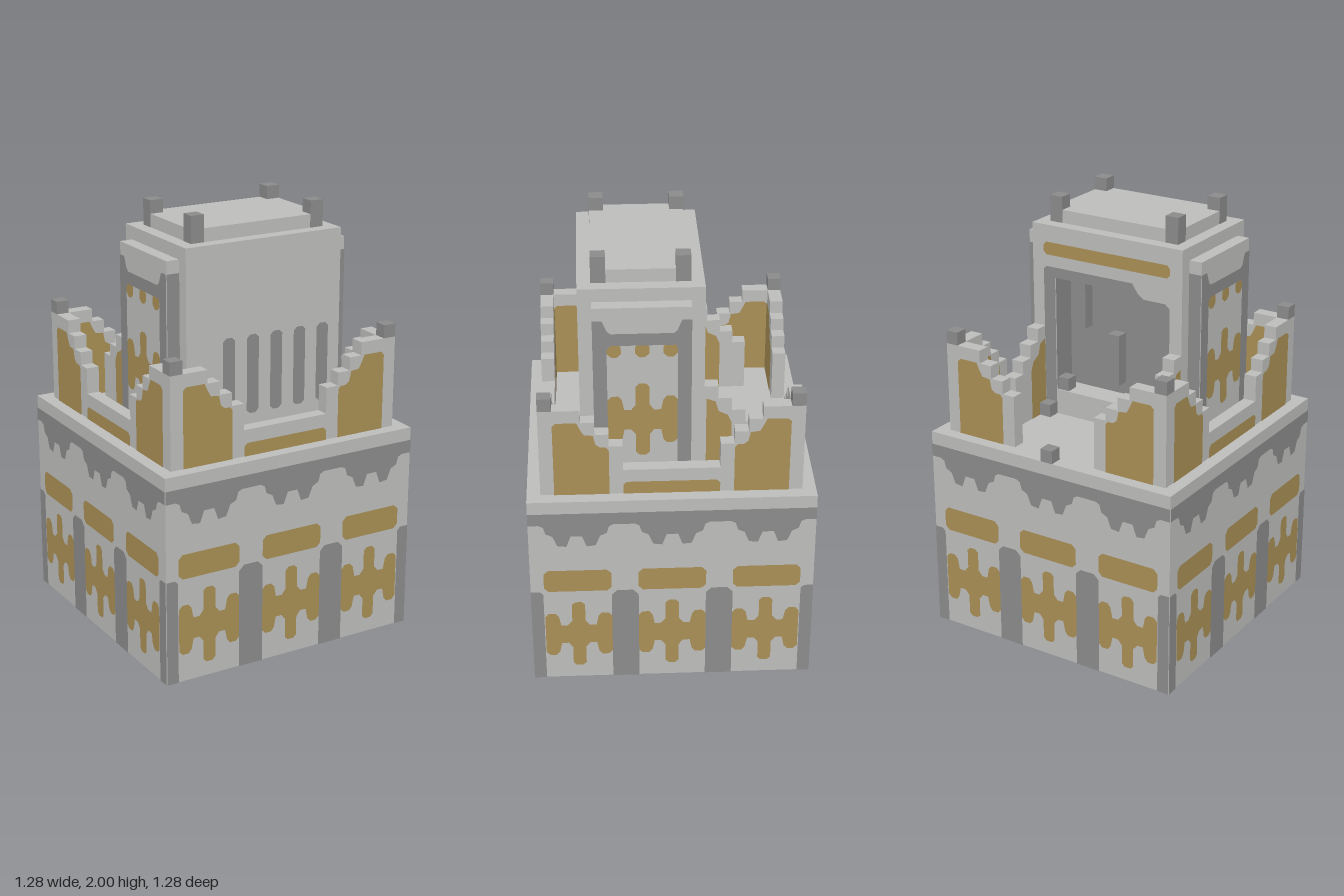
import * as THREE from 'three';

const V = 2 / 33;          // block size
const EPS = 0.003;         // lift of painted faces
const H = 10.5 * V;        // half width of the base
const DECK = 16 * V;

const stone = new THREE.MeshStandardMaterial({ color: 0xbdbdbb });
stone.name = 'light stone';
const dark = new THREE.MeshStandardMaterial({ color: 0x8b8b8b });
dark.name = 'dark stone';
const gold = new THREE.MeshStandardMaterial({ color: 0xa98f55 });
gold.name = 'gold';

const toShape = (pts) => new THREE.Shape(pts.map(([x, y]) => new THREE.Vector2(x, y)));
const flip = (pts, s) => pts.map(([x, y]) => [x * s, y]);
const shift = (pts, dx, dy = 0) => pts.map(([x, y]) => [x + dx, y + dy]);

function add(parent, name, geometry, material) {
  const mesh = new THREE.Mesh(geometry, material);
  mesh.name = name;
  parent.add(mesh);
  return mesh;
}

// Box given by its limits
function box(parent, name, material, x0, x1, y0, y1, z0, z1) {
  const mesh = add(parent, name, new THREE.BoxGeometry(x1 - x0, y1 - y0, z1 - z0), material);
  mesh.position.set((x0 + x1) / 2, (y0 + y1) / 2, (z0 + z1) / 2);
  return mesh;
}

// Painted face in the xy plane, facing +z
function paint(parent, name, material, pts, z = 0) {
  const mesh = add(parent, name, new THREE.ShapeGeometry(toShape(pts)), material);
  mesh.position.z = z + EPS;
  return mesh;
}

// Rectangle with cut corners; c is top cut, b is bottom cut
function cutRect(x0, x1, y0, y1, c = 0.02, b = c) {
  return [[x0 + b, y0], [x1 - b, y0], [x1, y0 + b], [x1, y1 - c],
    [x1 - c, y1], [x0 + c, y1], [x0, y1 - c], [x0, y0 + b]];
}

// Group whose local +z points out of one side of the building
function sideGroup(parent, name, quarter) {
  const g = new THREE.Group();
  g.name = name;
  g.rotation.y = quarter * Math.PI / 2;
  parent.add(g);
  return g;
}

// Ornament with a stem and four stubby arms, centred on 0,0
function ornament() {
  const q = [[0.03, 0.165], [0.03, 0.075], [0.05, 0.05], [0.08, 0.05], [0.09, 0.1], [0.105, 0.118], [0.135, 0.118], [0.152, 0.1]];
  const tip = [[0.015, 0.18], ...q];
  const right = [...tip, ...tip.slice().reverse().map(([x, y]) => [x, -y])];
  return [...right, ...right.slice().reverse().map(([x, y]) => [-x, y])];
}

// Scalloped band under the cornice
function friezeOutline() {
  const bay = [[-0.165, 0.85], [-0.145, 0.84], [-0.135, 0.805], [-0.105, 0.79], [-0.085, 0.74], [-0.045, 0.735],
    [-0.025, 0.79], [0.025, 0.79], [0.045, 0.735], [0.085, 0.74], [0.105, 0.79], [0.135, 0.805], [0.145, 0.84], [0.165, 0.85]];
  const lower = [-7 * V, 0, 7 * V].flatMap((c) => shift(bay, c));
  return [[-H, 0.91], [-H, 0.85], ...lower, [H, 0.85], [H, 0.91]];
}

function facade(parent) {
  for (const c of [-7 * V, 0, 7 * V]) {
    paint(parent, 'goldPanel', gold, cutRect(c - 0.152, c + 0.152, 0.49, 0.605), H);
    paint(parent, 'goldOrnament', gold, shift(ornament(), c, 0.248), H);
  }
  for (const s of [-1, 1]) {
    paint(parent, 'pilaster', dark, cutRect(s * 3.5 * V - V, s * 3.5 * V + V, 0, 0.49, 0.025, 0), H);
    paint(parent, 'cornerPilaster', dark, flip([[H, 0], [0.58, 0], [0.58, 0.475], [0.595, 0.49], [H, 0.49]], s), H);
  }
  paint(parent, 'frieze', dark, friezeOutline(), H);
}

// Stepped parapet; the back one leaves its middle open
function parapet(parent, open) {
  const inner = 8.5 * V, outer = 9.5 * V;
  const wall = [[3.5, 16], [9.5, 16], [9.5, 23], [6.5, 23], [6.5, 22], [5.5, 22], [5.5, 21], [4.5, 21], [4.5, 20], [3.5, 20]]
    .map(([x, y]) => [x * V, y * V]);
  const panel = [[0.273, DECK], [0.515, DECK], [0.515, 1.32], [0.5, 1.335], [0.41, 1.335], [0.394, 1.3],
    [0.38, 1.275], [0.34, 1.27], [0.33, 1.225], [0.31, 1.21], [0.285, 1.21], [0.273, 1.195]];
  for (const s of [-1, 1]) {
    add(parent, 'parapetWall', new THREE.ExtrudeGeometry(toShape(flip(wall, s)), { depth: V, bevelEnabled: false }), stone)
      .position.z = inner;
    paint(parent, 'parapetPanel', gold, flip(panel, s), outer);
    paint(parent, 'parapetInnerPanel', gold, flip(panel, s), -inner).rotation.y = Math.PI;
    parent.children.at(-1).position.z = inner - EPS;
  }
  if (open) return;
  box(parent, 'lowParapet', stone, -3.5 * V, 3.5 * V, DECK, 18 * V, inner, outer);
  paint(parent, 'lowPanel', gold, cutRect(-3.5 * V, 3.5 * V, DECK, 17 * V, 0.015, 0), outer);
}

// Projecting wing on the side of the tower, local x runs towards the back
function wing(parent, s) {
  const z0 = 6.5 * V, z1 = 7.5 * V;
  const g = new THREE.Group();
  g.name = 'wing';
  g.scale.x = 1;
  g.position.x = -s * 2 * V;   // centre of the wing lies towards the front
  parent.add(g);
  const w = 3.5 * V;
  box(g, 'wingBody', stone, -w, w, DECK, 30 * V, z0 - 0.01, z1);
  const frame = [[-w, DECK], [-w, 1.76], [-0.17, 1.76], [-0.15, 1.71], [-0.135, 1.697], [0.135, 1.697], [0.15, 1.71],
    [0.17, 1.76], [w, 1.76], [w, DECK], [0.152, DECK], [0.152, 1.62], [0.135, 1.64], [-0.135, 1.64], [-0.152, 1.62], [-0.152, DECK]];
  paint(g, 'wingFrame', dark, frame, z1);
  paint(g, 'wingOrnament', gold, shift(ornament(), 0, 1.273), z1);
  for (const x of [-2 * V, 0, 2 * V]) {
    paint(g, 'wingDot', gold, cutRect(x - 0.03, x + 0.03, 1.583, 1.64, 0.006, 0.018), z1);
  }
  for (const e of [-1, 1]) {
    const edge = add(g, 'wingEdge', new THREE.PlaneGeometry(V, 1.76 - DECK), dark);
    edge.rotation.y = e * Math.PI / 2;
    edge.position.set(e * (w + EPS), (1.76 + DECK) / 2, (z0 + z1) / 2);
  }
}

function tower(parent) {
  const X = 6.5 * V, back = -2.5 * V, inset = -0.5 * V;
  const top = 31 * V;
  box(parent, 'towerBody', stone, -X, X, DECK, top, inset, X);
  // Back wall with an opening, seen from behind: local x is mirrored
  const rear = sideGroup(parent, 'towerBack', 2);
  const hole = [[-4.5 * V, 18 * V], [2.5 * V, 18 * V], [2.5 * V, 27 * V], [-4.5 * V, 27 * V]];
  const wallShape = toShape([[-X, DECK], [X, DECK], [X, top], [-X, top]]);
  wallShape.holes.push(toShape(hole));
  add(rear, 'towerBackWall', new THREE.ExtrudeGeometry(wallShape, { depth: 2 * V, bevelEnabled: false }), stone)
    .position.z = -inset;
  const arch = toShape([[-5.5 * V, DECK], [-5.5 * V, 1.67], [-0.32, 1.685], [0.14, 1.685], [0.17, 1.64], [0.2, 1.62],
    [0.31, 1.62], [5.5 * V, 1.6], [5.5 * V, DECK], [2.5 * V, DECK], [2.5 * V, 18 * V], [2.5 * V, 27 * V],
    [-4.5 * V, 27 * V], [-4.5 * V, DECK]]);
  add(rear, 'doorSurround', new THREE.ShapeGeometry(arch), dark).position.z = -back + EPS;
  paint(rear, 'nicheBack', dark, hole, -inset);
  for (const [x, r] of [[-4.5 * V + EPS, 1], [2.5 * V - EPS, -1]]) {
    const jamb = add(rear, 'nicheSide', new THREE.PlaneGeometry(2 * V, 9 * V), dark);
    jamb.rotation.y = r * Math.PI / 2;
    jamb.position.set(x, 22.5 * V, 1.5 * V);
  }
  box(rear, 'nicheBar', dark, -3.5 * V, -2.5 * V, 23 * V, 27 * V, 0.5 * V, 1.5 * V);
  box(rear, 'nichePost', dark, -0.5 * V, 0.5 * V, 19 * V, 23 * V, 0.5 * V, 1.5 * V);
  box(rear, 'nicheBlock', dark, -4.5 * V, -3.5 * V, 18 * V, 19 * V, 1.4 * V, 2.4 * V);
  paint(rear, 'backStripe', gold, cutRect(-5.5 * V, 5.5 * V, 1.74, 1.8, 0.015), -back);
  // Slots on the front
  for (const i of [-3, -1, 1, 3, 5]) {
    paint(parent, 'frontSlot', dark, cutRect((i - 0.5) * V, (i + 0.5) * V, 18 * V, 24 * V, 0.016), X);
  }
  // Roof slab with corner posts
  box(parent, 'roofSlab', stone, -5.5 * V, 5.5 * V, top, 32 * V, -1.5 * V, 5.5 * V);
  for (const x of [-5, 5]) for (const z of [-1, 5]) {
    box(parent, 'roofPost', dark, (x - 0.5) * V - 0.002, (x + 0.5) * V + 0.002, top, 2, (z - 0.5) * V - 0.002, (z + 0.5) * V + 0.002);
  }
}

// Stepped buttress walls running back from the tower
function buttress(parent, s) {
  const pts = [[2.5, 16], [6.5, 16], [6.5, 20], [5.5, 20], [5.5, 21], [4.5, 21], [4.5, 22], [3.5, 22], [3.5, 23], [2.5, 23]]
    .map(([x, y]) => [x * V, y * V]);
  const panel = [[0.16, DECK], [0.273, DECK], [0.273, 1.21], [0.255, 1.25], [0.215, 1.27], [0.2, 1.32], [0.16, 1.335]];
  const g = sideGroup(parent, 'buttress', 1);
  add(g, 'buttressWall', new THREE.ExtrudeGeometry(toShape(pts), { depth: V, bevelEnabled: false }), stone)
    .position.z = s > 0 ? 5.5 * V : -6.5 * V;
  paint(g, 'buttressPanel', gold, panel, s > 0 ? 6.5 * V : -5.5 * V);
  const inside = paint(g, 'buttressPanel', gold, flip(panel, -1));
  inside.rotation.y = Math.PI;
  inside.position.z = (s > 0 ? 5.5 * V : -6.5 * V) - EPS;
}

export function createModel() {
  const model = new THREE.Group();
  model.name = 'tower';
  box(model, 'base', stone, -H, H, 0, DECK, -H, H);

  ['front', 'left', 'back', 'right'].forEach((name, i) => {
    const g = sideGroup(model, name + 'Side', i);
    facade(g);
    parapet(g, name === 'back');
    if (i % 2) wing(g, i === 1 ? 1 : -1);
  });
  tower(model);
  buttress(model, 1);
  buttress(model, -1);

  // Corner finials and loose blocks on the deck
  for (const x of [-9, 9]) for (const z of [-9, 9]) {
    box(model, 'cornerFinial', dark, (x - 0.5) * V, (x + 0.5) * V, 23 * V, 24 * V, (z - 0.5) * V, (z + 0.5) * V);
  }
  box(model, 'backBlock', dark, -0.5 * V, 0.5 * V, DECK, 17 * V, -H, -H + V);
  box(model, 'deckBlock', dark, 4.5 * V, 5.5 * V, DECK, 17 * V, -3.5 * V, -2.5 * V);

  // Dark pads under the base, clipped at its edges
  const lim = (a) => Math.max(-H, Math.min(H, a));
  for (const i of [-1.5, -0.5, 0.5, 1.5]) for (const j of [-1.5, -0.5, 0.5, 1.5]) {
    const cx = i * 7 * V, cz = j * 7 * V;
    const pts = cutRect(cx - V, cx + V, cz - V, cz + V, 0.03).map(([x, y]) => [lim(x), lim(y)]);
    const pad = paint(model, 'basePad', dark, pts);
    pad.rotation.x = Math.PI / 2;
    pad.position.set(0, -0.001, 0);
  }
  return model;
}
